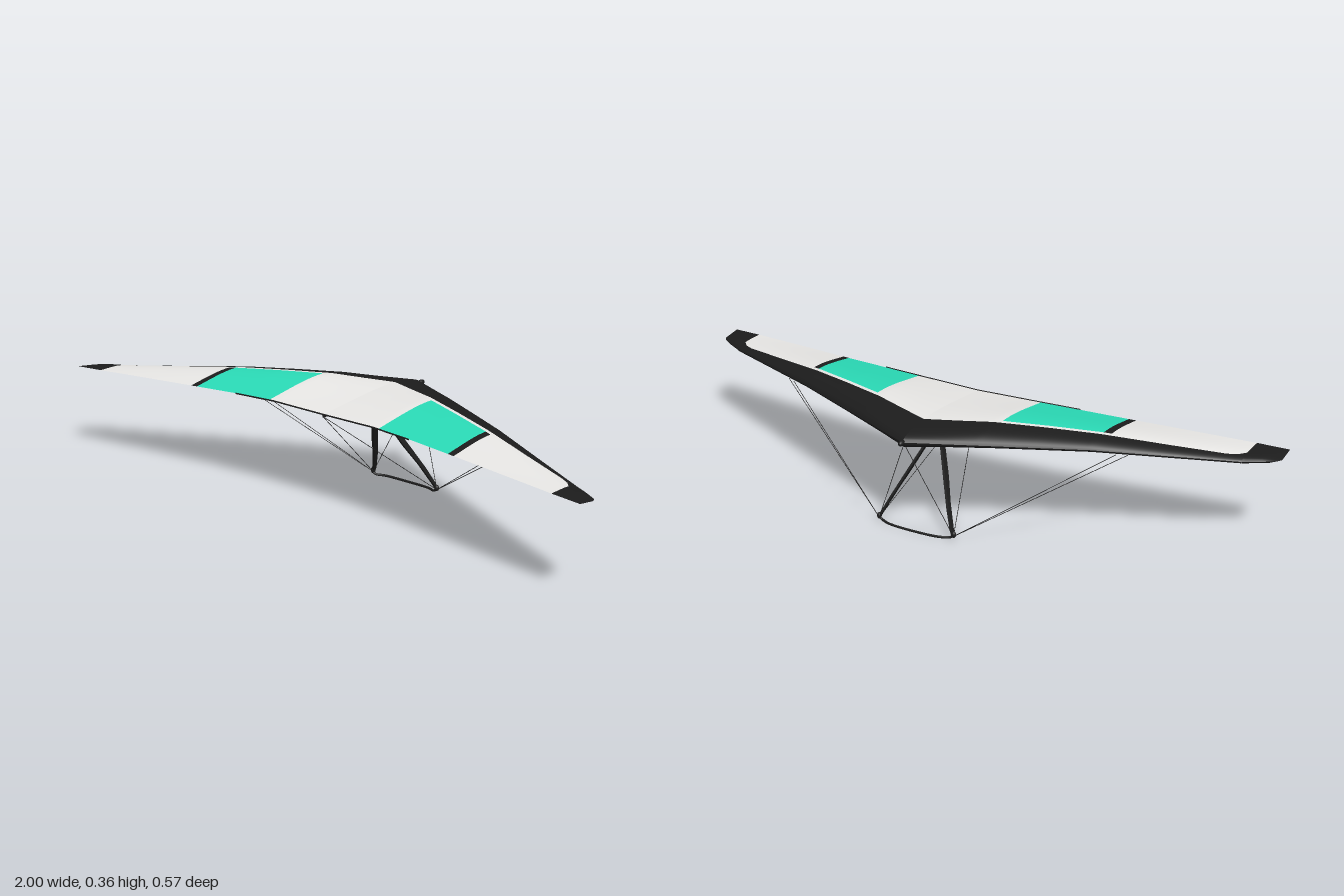
import * as THREE from 'three';

const mat = (name, color) => {
  const m = new THREE.MeshStandardMaterial({ color });
  m.name = name;
  return m;
};

// Piecewise-linear lookup through [x, value] pairs
const table = (...pts) => (x) => {
  let i = 1;
  while (i < pts.length - 1 && x > pts[i][0]) i++;
  const [x0, v0] = pts[i - 1], [x1, v1] = pts[i];
  return v0 + ((v1 - v0) * (x - x0)) / (x1 - x0);
};

// Wing planform and section, by distance from the centreline
const leadZ = table([0, -0.27], [0.9, 0.155], [0.96, 0.188], [0.99, 0.207], [1, 0.222]);
const trailZ = table([0, 0.187], [0.2, 0.192], [0.35, 0.206], [0.5, 0.224], [0.9, 0.276], [1, 0.286]);
const leadY = table([0, 0.322], [0.5, 0.318], [0.9, 0.297], [1, 0.299]);
const trailY = table([0, 0.325], [0.2, 0.328], [0.35, 0.326], [0.5, 0.322], [0.8, 0.314], [1, 0.308]);
const topH = table([0, 0.029], [0.1, 0.032], [0.2, 0.036], [0.35, 0.032], [0.5, 0.026], [0.7, 0.016], [0.85, 0.01], [0.95, 0.007], [1, 0]);
const bottomH = table([0, 0.03], [0.1, 0.022], [0.25, 0.016], [0.5, 0.013], [0.9, 0.01], [0.97, 0.008], [1, 0]);
const bandZ = table([0, -0.145], [0.85, 0.158], [0.88, 0.174], [0.9, 0.197]);

const wingPoint = (x, u, under, drop = 0) => {
  const z = THREE.MathUtils.lerp(leadZ(x), trailZ(x), u);
  const base = THREE.MathUtils.lerp(leadY(x), trailY(x), u);
  const y = under
    ? base - bottomH(x) * Math.sin(Math.PI * Math.pow(u, 0.43)) - drop
    : base + topH(x) * Math.sin(Math.PI * Math.pow(u, 0.6));
  return [x, y, z];
};
const chordAt = (x, z) => (z - leadZ(x)) / (trailZ(x) - leadZ(x));
const bandU = (x) => chordAt(x, bandZ(x));
const panelU = (x) => chordAt(x, bandZ(x) + 0.014);
const zero = () => 0, one = () => 1;

// Patch of wing skin; place(s, t) gives [x, chord fraction]
function skin(place, sign, under, drop, ns, nt) {
  const pos = [], index = [];
  for (let i = 0; i <= ns; i++)
    for (let j = 0; j <= nt; j++) {
      const [x, u] = place(i / ns, j / nt);
      const p = wingPoint(x, Math.min(1, Math.max(0, u)), under, drop);
      pos.push(p[0] * sign, p[1], p[2]);
    }
  for (let i = 0; i < ns; i++)
    for (let j = 0; j < nt; j++) {
      const a = i * (nt + 1) + j, b = a + nt + 1;
      if ((sign < 0) !== under) index.push(a, b, a + 1, a + 1, b, b + 1);
      else index.push(a, a + 1, b, a + 1, b + 1, b);
    }
  const g = new THREE.BufferGeometry();
  g.setAttribute('position', new THREE.Float32BufferAttribute(pos, 3));
  g.setIndex(index);
  g.computeVertexNormals();
  return g;
}

export function createModel() {
  const model = new THREE.Group();
  model.name = 'hangGlider';
  const black = mat('black', 0x1c1c1c);
  const grey = mat('sail grey', 0xebeae8);
  const teal = mat('teal', 0x2adab6);

  const add = (name, geometry, material) => {
    const m = new THREE.Mesh(geometry, material);
    m.name = name;
    model.add(m);
    return m;
  };
  const panel = (name, x0, x1, u0, u1, material, under = false) => {
    const place = (s, t) => {
      const x = x0 + (x1 - x0) * s;
      return [x, THREE.MathUtils.lerp(u0(x), u1(x), t)];
    };
    const ns = Math.max(2, Math.ceil((x1 - x0) / 0.01));
    for (const sign of [1, -1])
      add(name + (sign > 0 ? 'Left' : 'Right'), skin(place, sign, under, 0, ns, 20), material);
  };

  // Upper sail
  panel('leadingEdgeBand', 0, 0.9, zero, bandU, black);
  panel('centreSail', 0, 0.22, bandU, one, grey);
  panel('frontStrip', 0.22, 0.528, bandU, panelU, grey);
  panel('colourPanel', 0.22, 0.505, panelU, one, teal);
  panel('darkStripe', 0.505, 0.528, panelU, one, black);
  panel('outerSail', 0.528, 0.9, bandU, one, grey);
  panel('wingTip', 0.9, 1, zero, one, black);

  // Lower sail
  const lip = () => 0.03;
  panel('lowerLeadingEdge', 0, 0.9, zero, lip, black, true);
  panel('lowerSail', 0, 0.9, lip, one, teal, true);
  panel('lowerWingTip', 0.9, 1, zero, one, black, true);

  // Slanted grey stripes under each wing
  for (const [start, slope, width] of [[0.22, 0.52, 0.14], [0.56, 0.36, 0.14]])
    for (const sign of [1, -1]) {
      const place = (s, t) => {
        const u = 0.04 + 0.56 * t;
        return [start + slope * u + width * (s - 0.3), u];
      };
      add('lowerStripe', skin(place, sign, true, 0.0015, 8, 20), grey);
    }

  const tube = (name, pts, r, sides = 8, segs = 24) =>
    add(name, new THREE.TubeGeometry(
      new THREE.CatmullRomCurve3(pts.map((p) => new THREE.Vector3(...p))), segs, r, sides), black);

  // Trailing edge cord
  const cord = [];
  for (let i = -7; i <= 7; i++) {
    const [x, y, z] = wingPoint(Math.abs(i) * 0.05, 1, false);
    cord.push([Math.sign(i) * x, y, z + 0.0015]);
  }
  tube('trailingEdgeCord', cord, 0.0025, 6, 42);

  // Keel and nose cap
  tube('keel', [[0, 0.32, -0.28], [0, 0.316, -0.05], [0, 0.32, 0.197]], 0.004);
  const nose = add('noseCap', new THREE.SphereGeometry(0.009, 16, 12), black);
  nose.scale.set(0.9, 1, 1.6);
  nose.position.set(0, 0.322, -0.274);

  // Control frame uprights: a side profile extruded, then leaned outward
  const profile = new THREE.Shape([
    [-0.04, 0.305], [-0.075, 0.235], [-0.11, 0.165], [-0.15, 0.1], [-0.185, 0.03], [-0.192, 0.012],
    [-0.2, 0.012], [-0.197, 0.03], [-0.174, 0.085], [-0.132, 0.165], [-0.094, 0.235], [-0.056, 0.305],
  ].map((p) => new THREE.Vector2(...p)));
  for (const sign of [1, -1]) {
    const g = new THREE.ExtrudeGeometry(profile, { depth: 0.008, bevelEnabled: false });
    g.translate(0, 0, -0.004).rotateY(-Math.PI / 2);
    const p = g.attributes.position;
    for (let i = 0; i < p.count; i++)
      p.setX(i, p.getX(i) + sign * 0.132 * (1 - (p.getY(i) - 0.012) / 0.293));
    g.computeVertexNormals();
    add(sign > 0 ? 'uprightLeft' : 'uprightRight', g, black);

    const joint = add('cornerFitting', new THREE.SphereGeometry(0.008, 12, 8), black);
    joint.position.set(sign * 0.132, 0.018, -0.194);
    joint.scale.set(1, 1.3, 0.9);
  }

  // Base bar
  tube('baseBar', [
    [-0.134, 0.016, -0.193], [-0.122, 0.007, -0.194], [-0.09, 0.005, -0.206], [0, 0.004, -0.211],
    [0.09, 0.005, -0.206], [0.122, 0.007, -0.194], [0.134, 0.016, -0.193],
  ], 0.004, 8, 48);

  // Rigging wires
  for (const sign of [1, -1])
    for (const [name, x, y, z] of [
      ['frontWire', 0, 0.315, -0.26], ['rearWire', 0, 0.32, 0.192],
      ['sideWireFront', 0.57, 0.306, 0.0], ['sideWireRear', 0.6, 0.305, 0.016],
    ]) {
      const line = new THREE.LineCurve3(
        new THREE.Vector3(sign * 0.132, 0.012, -0.195), new THREE.Vector3(sign * x, y, z));
      add(name, new THREE.TubeGeometry(line, 1, 0.001, 5), black);
    }

  return model;
}
